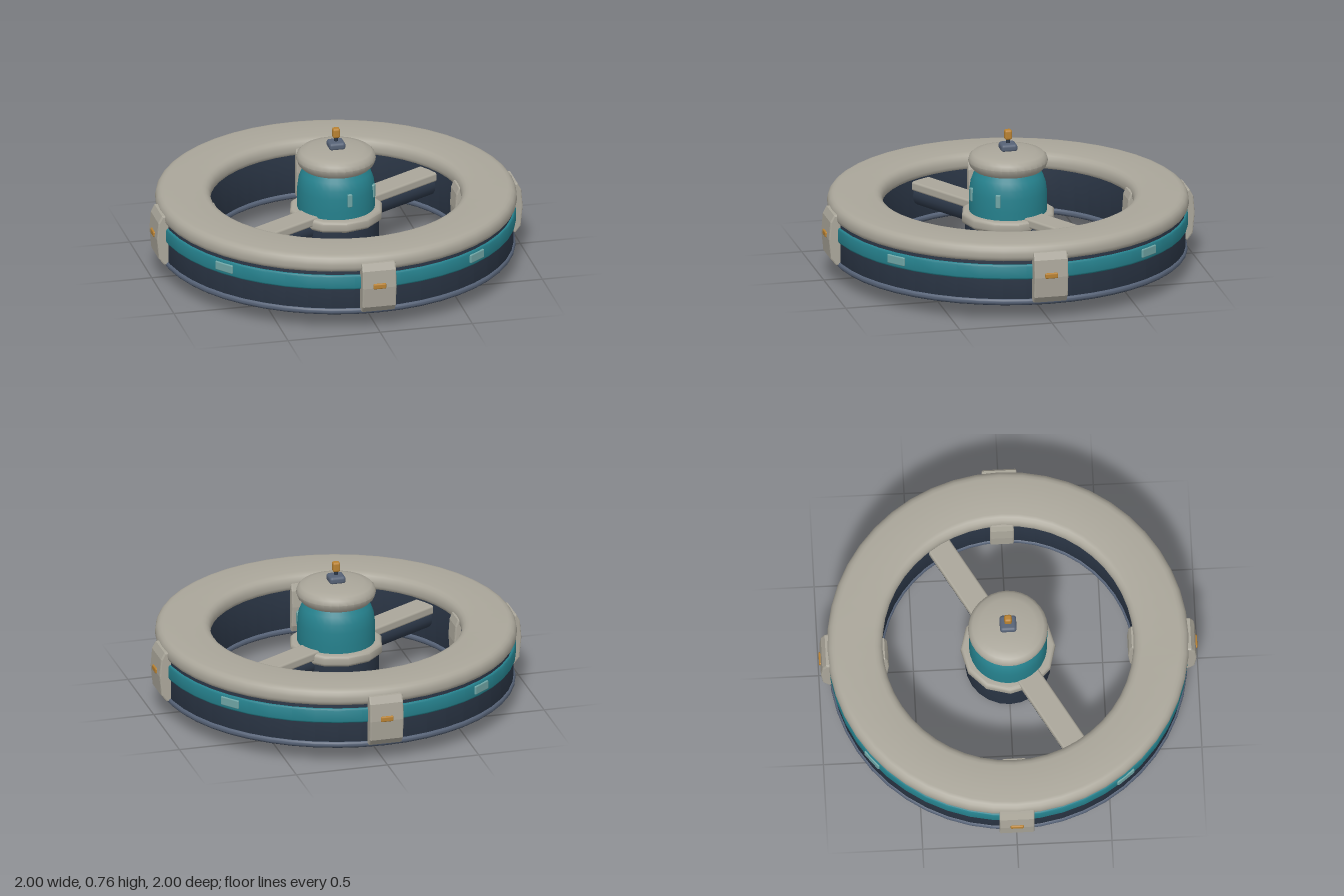
import * as THREE from 'three';
import { toCreasedNormals } from 'three/addons/utils/BufferGeometryUtils.js';
import { RoundedBoxGeometry } from 'three/addons/geometries/RoundedBoxGeometry.js';

const mat = (color) => new THREE.MeshStandardMaterial({ color });
const SHELL = mat(0xaaa69a), TEAL = mat(0x25808c), DARK = mat(0x2b3646);
const RIM = mat(0x566276), GOLD = mat(0xb98232), LAMP = mat(0x6fa5a5);

function add(parent, name, geometry, material, x = 0, y = 0, z = 0) {
  const mesh = new THREE.Mesh(geometry, material);
  mesh.name = name;
  mesh.position.set(x, y, z);
  parent.add(mesh);
  return mesh;
}

// Turned solid from [radius, height] pairs, listed counter-clockwise
function turned(points, sides = 32) {
  const lathe = new THREE.LatheGeometry(points.map(([r, y]) => new THREE.Vector2(r, y)), sides);
  return toCreasedNormals(lathe, 0.6);
}

// Ring with a rounded rectangular section: bevels are [bottom, top]
function ring(inner, outer, y0, y1, bevels, sides = 48) {
  const pts = [];
  const corner = (r, y, b, start) => {
    for (let i = 0; i <= 4; i++) {
      const a = start + (i / 4) * Math.PI / 2;
      pts.push([r + b * Math.cos(a), y + b * Math.sin(a)]);
    }
  };
  const [b, t] = bevels, q = Math.PI / 2;
  corner(outer - b, y0 + b, b, -q);
  corner(outer - t, y1 - t, t, 0);
  corner(inner + t, y1 - t, t, q);
  corner(inner + b, y0 + b, b, 2 * q);
  pts.push(pts[0]);
  return turned(pts, sides);
}

// Bracket plate: section in the radius/height plane, extruded across its width
function bracket(section, width) {
  const shape = new THREE.Shape(section.map(([r, y]) => new THREE.Vector2(r, y)));
  const bevel = 0.008;
  const g = new THREE.ExtrudeGeometry(shape, {
    depth: width - 2 * bevel, bevelThickness: bevel, bevelSize: bevel, bevelOffset: -bevel, bevelSegments: 2,
  });
  g.translate(0, 0, bevel - width / 2);
  g.rotateY(-Math.PI / 2); // radius now runs along +z
  return g;
}

export function createModel() {
  const model = new THREE.Group();
  model.name = 'ringStation';

  // Outer ring
  const wheel = new THREE.Group();
  wheel.name = 'ring';
  model.add(wheel);
  add(wheel, 'ringBody', ring(0.672, 0.938, 0.105, 0.36, [0.01, 0.01]), DARK);
  add(wheel, 'ringTopShell', ring(0.663, 0.955, 0.328, 0.42, [0.03, 0.045]), SHELL);
  add(wheel, 'ringBand', ring(0.8, 0.95, 0.23, 0.313, [0.012, 0.012]), TEAL);
  add(wheel, 'ringBottomRim', ring(0.663, 0.948, 0.088, 0.122, [0.015, 0.015]), RIM);
  add(wheel, 'ringUnderside', ring(0.675, 0.937, 0.086, 0.1, [0.002, 0.002]), DARK);

  // Four outer and inner brackets, each with a gold marker, and four lamps between
  const outerPlate = bracket([[0.91, 0.1], [0.955, 0.105], [0.982, 0.14], [0.993, 0.25],
    [0.985, 0.345], [0.965, 0.383], [0.91, 0.385]], 0.184);
  const innerPlate = bracket([[0.7, 0.105], [0.655, 0.105], [0.64, 0.14], [0.632, 0.25],
    [0.638, 0.34], [0.652, 0.375], [0.7, 0.38]], 0.125);
  for (let i = 0; i < 4; i++) {
    const quarter = new THREE.Group();
    quarter.name = 'bracketSet';
    quarter.rotation.y = i * Math.PI / 2;
    wheel.add(quarter);
    add(quarter, 'outerBracket', outerPlate, SHELL);
    add(quarter, 'innerBracket', innerPlate, SHELL);
    add(quarter, 'marker', new RoundedBoxGeometry(0.07, 0.03, 0.03, 2, 0.007), GOLD, 0, 0.26, 0.985);
    const pivot = new THREE.Group();
    pivot.name = 'lampPivot';
    pivot.rotation.y = 0.665;
    quarter.add(pivot);
    add(pivot, 'ringLamp', new RoundedBoxGeometry(0.115, 0.048, 0.03, 2, 0.006), LAMP, 0, 0.275, 0.941);
  }

  // Spokes: flat deck over a round beam
  for (const side of [0, 1]) {
    const spoke = new THREE.Group();
    spoke.name = 'spoke';
    spoke.rotation.y = Math.PI / 6 + side * Math.PI;
    model.add(spoke);
    add(spoke, 'spokeDeck', new RoundedBoxGeometry(0.56, 0.05, 0.132, 2, 0.012), SHELL, 0.42, 0.303, 0);
    const beam = add(spoke, 'spokeBeam', new THREE.CylinderGeometry(0.058, 0.058, 0.56, 16), DARK, 0.42, 0.245, 0);
    beam.rotation.z = Math.PI / 2;
  }

  // Hub
  const hub = new THREE.Group();
  hub.name = 'hub';
  model.add(hub);
  add(hub, 'hubBase', turned([[0, 0], [0.185, 0], [0.2, 0.008], [0.218, 0.026], [0.226, 0.05],
    [0.226, 0.29], [0, 0.29]], 24), DARK);
  add(hub, 'hubCollar', ring(0.15, 0.25, 0.255, 0.318, [0.02, 0.02], 12), SHELL);
  add(hub, 'hubBarrel', turned([[0, 0.28], [0.205, 0.28], [0.207, 0.36], [0.205, 0.43], [0.199, 0.475],
    [0.184, 0.515], [0.155, 0.55], [0, 0.55]]), TEAL);
  add(hub, 'hubCap', turned([[0, 0.538], [0.16, 0.538], [0.183, 0.546], [0.202, 0.566], [0.211, 0.592],
    [0.205, 0.616], [0.188, 0.632], [0.15, 0.642], [0.08, 0.65], [0, 0.652]]), SHELL);
  for (const angle of [0.13, 1.08]) {
    const tab = add(hub, 'hubWindow', new RoundedBoxGeometry(0.026, 0.072, 0.02, 2, 0.005), LAMP,
      0.203 * Math.sin(angle), 0.423, 0.203 * Math.cos(angle));
    tab.rotation.y = angle;
  }

  // Beacon on the cap
  add(hub, 'beaconBase', new RoundedBoxGeometry(0.088, 0.042, 0.088, 3, 0.016), RIM, 0, 0.666, 0);
  add(hub, 'beaconStem', new THREE.CylinderGeometry(0.01, 0.01, 0.04, 10), DARK, 0, 0.698, 0);
  add(hub, 'beaconLight', new RoundedBoxGeometry(0.04, 0.055, 0.04, 3, 0.012), GOLD, 0, 0.733, 0);

  return model;
}
